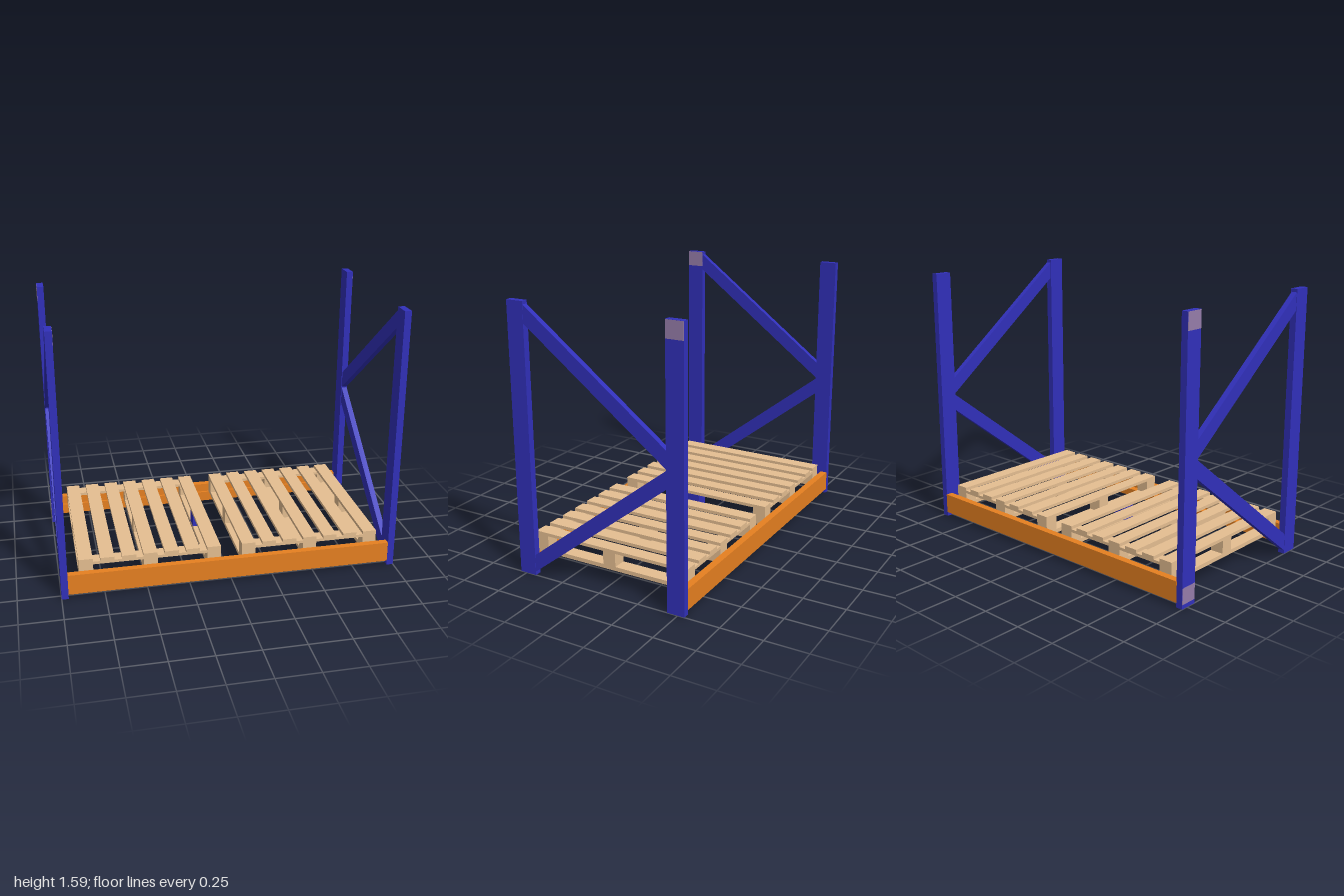
import * as THREE from 'three';

const blue = new THREE.MeshStandardMaterial({ name: 'blue steel', color: 0x3130ba });
const orange = new THREE.MeshStandardMaterial({ name: 'orange steel', color: 0xe68020 });
const wood = new THREE.MeshStandardMaterial({ name: 'pale wood', color: 0xe5be91 });
const patch = new THREE.MeshStandardMaterial({ name: 'faded patch', color: 0x967daa });

// Box given by its lower and upper limits on each axis
function box(parent, name, material, [x0, x1], [y0, y1], [z0, z1]) {
  const mesh = new THREE.Mesh(new THREE.BoxGeometry(x1 - x0, y1 - y0, z1 - z0), material);
  mesh.position.set((x0 + x1) / 2, (y0 + y1) / 2, (z0 + z1) / 2);
  mesh.name = name;
  parent.add(mesh);
}

// Sloping brace with vertical ends, outlined in the z-y plane
function brace(parent, name, x, frontY, backY) {
  const zf = 0.437, zb = -0.437, h = 0.103;
  const shape = new THREE.Shape([
    new THREE.Vector2(-zf, frontY), new THREE.Vector2(-zb, backY),
    new THREE.Vector2(-zb, backY + h), new THREE.Vector2(-zf, frontY + h),
  ]);
  const geometry = new THREE.ExtrudeGeometry(shape, { depth: 0.034, bevelEnabled: false });
  geometry.translate(0, 0, -0.017).rotateY(Math.PI / 2);
  const mesh = new THREE.Mesh(geometry, blue);
  mesh.position.x = x;
  mesh.name = name;
  parent.add(mesh);
}

// Pallet: bottom boards, blocks, cross boards and seven deck slats
function pallet(name, centreX, innerBlockMaterial) {
  const group = new THREE.Group();
  group.name = name;
  group.position.x = centreX;
  const half = 0.415, w = 0.082;
  [-half, -w / 2, half - w].forEach((x, i) => {
    const xs = [x, x + w];
    box(group, 'bottomBoard', wood, xs, [0.098, 0.122], [-0.5, 0.5]);
    box(group, 'frontBlock', wood, xs, [0.122, 0.185], [0.42, 0.5]);
    box(group, 'middleBlock', i === 2 ? innerBlockMaterial : wood, xs, [0.122, 0.202], [-0.04, 0.04]);
    box(group, 'backBlock', wood, xs, [0.122, 0.185], [-0.5, -0.42]);
  });
  for (const z of [-0.5, 0.42]) {
    box(group, 'crossBoard', wood, [-half, half], [0.185, 0.202], [z, z + 0.08]);
  }
  for (let i = 0; i < 7; i++) {
    const x = -half + i * (2 * half - w) / 6;
    box(group, 'deckSlat', wood, [x, x + w], [0.202, 0.221], [-0.5, 0.5]);
  }
  return group;
}

export function createModel() {
  const model = new THREE.Group();
  model.name = 'palletRack';

  // End frames
  for (const side of [-1, 1]) {
    const frame = new THREE.Group();
    frame.name = side > 0 ? 'leftFrame' : 'rightFrame';
    const xs = side > 0 ? [0.96, 1] : [-1, -0.96];
    box(frame, 'frontPost', blue, xs, [0, 1.587], [0.435, 0.541]);
    box(frame, 'backPost', blue, xs, [0, 1.587], [-0.541, -0.435]);
    brace(frame, 'upperBrace', side * 0.981, 1.467, 0.808);
    brace(frame, 'lowerBrace', side * 0.981, 0.02, 0.702);
    model.add(frame);
  }

  // Stepped beams carrying the pallets
  const span = [-0.962, 0.962];
  box(model, 'frontBeam', orange, span, [0.027, 0.15], [0.5, 0.54]);
  box(model, 'frontBeamLedge', orange, span, [0.055, 0.097], [0.455, 0.5]);
  box(model, 'backBeam', orange, span, [0.027, 0.15], [-0.542, -0.5]);
  box(model, 'backBeamLedge', orange, span, [0.055, 0.097], [-0.5, -0.485]);

  // Pallets; one middle block is painted blue
  model.add(pallet('leftPallet', 0.479, wood), pallet('rightPallet', -0.477, blue));

  // Faded patches on the posts
  const back = [-0.54, -0.436], top = [1.49, 1.586];
  box(model, 'leftBackPatch', patch, [0.999, 1.001], top, back);
  box(model, 'rightBackPatch', patch, [-1.001, -0.999], top, back);
  box(model, 'rightBackFootPatch', patch, [-1.001, -0.999], [0.025, 0.12], back);
  box(model, 'rightFrontPatch', patch, [-0.961, -0.959], top, [0.436, 0.54]);
  return model;
}
